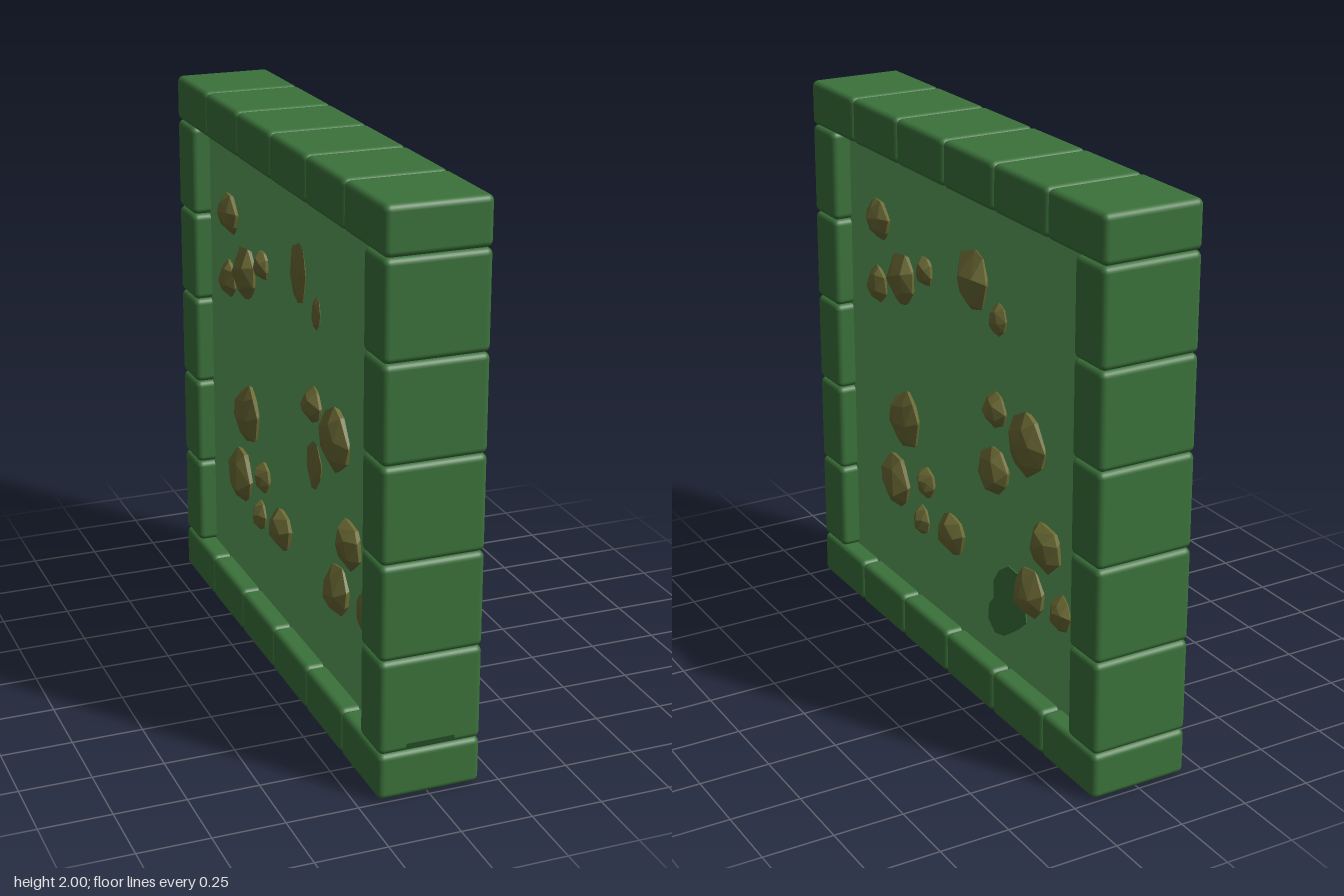
import * as THREE from 'three';
import { RoundedBoxGeometry } from 'three/addons/geometries/RoundedBoxGeometry.js';
import { ConvexGeometry } from 'three/addons/geometries/ConvexGeometry.js';

const mat = (name, color) => {
  const m = new THREE.MeshStandardMaterial({ color });
  m.name = name;
  return m;
};

function seeded(seed) {
  let s = seed;
  return () => (s = (s * 16807) % 2147483647) / 2147483647;
}

// Rocks: z, y, half width, half height, shallow on the far face
const ROCKS = [
  [0.59, 1.565, 0.08, 0.08], [0.605, 1.315, 0.062, 0.07],
  [0.41, 1.39, 0.09, 0.1], [0.24, 1.465, 0.048, 0.055],
  [-0.1, 1.53, 0.097, 0.112, true], [-0.27, 1.44, 0.047, 0.063, true],
  [-0.255, 1.115, 0.066, 0.064], [-0.467, 1.065, 0.106, 0.117],
  [-0.25, 0.89, 0.095, 0.093, true], [-0.59, 0.737, 0.096, 0.09],
  [-0.488, 0.53, 0.09, 0.092], [-0.685, 0.535, 0.058, 0.07, true],
  [0.403, 0.85, 0.103, 0.117], [0.244, 0.658, 0.058, 0.061],
  [0.053, 0.53, 0.087, 0.082], [0.483, 0.583, 0.1, 0.115],
  [0.281, 0.493, 0.045, 0.06],
];

const FACE = 0.11; // half thickness of the panel

// Faceted stone: wide ring in the panel, smaller ring and a crown above it
function rockGeometry(hw, hh, depth, seed) {
  const rnd = seeded(seed);
  for (let i = 0; i < 5; i++) rnd();
  const pts = [];
  const turn = rnd() * 6;
  const ring = (n, x, scale, jitter) => {
    for (let i = 0; i < n; i++) {
      const a = turn + ((i + (rnd() - 0.5) * 0.5) / n) * Math.PI * 2;
      const r = scale * (1 - jitter * rnd());
      pts.push(new THREE.Vector3(
        x + (rnd() - 0.5) * depth * 0.25, Math.sin(a) * hh * r, Math.cos(a) * hw * r));
    }
  };
  ring(6, -depth * 0.5, 0.85, 0.2);
  ring(8, depth * 0.2, 1.04, 0.12);
  ring(5, depth * 0.75, 0.68, 0.25);
  pts.push(new THREE.Vector3(depth, (rnd() - 0.5) * hh * 0.5, (rnd() - 0.5) * hw * 0.5));
  return new ConvexGeometry(pts);
}

export function createModel() {
  const group = new THREE.Group();
  const frameGreen = mat('frame green', 0x3b723b);
  const panelGreen = mat('panel green', 0x5ca35b);
  const stone = mat('stone olive', 0x6b6a35);
  const gapGreen = mat('gap dark green', 0x234a26);

  const add = (name, geometry, material, x = 0, y = 0, z = 0, parent = group) => {
    const mesh = new THREE.Mesh(geometry, material);
    mesh.name = name;
    mesh.position.set(x, y, z);
    parent.add(mesh);
    return mesh;
  };

  // Central panel, showing through the open underside of the frame
  add('panel', new THREE.BoxGeometry(FACE * 2, 1.95, 1.88), panelGreen, 0, 0.975, 0);

  // Top and bottom rows of rounded blocks
  const rowLength = 2 / 6;
  const rowBlock = new RoundedBoxGeometry(0.36, 0.165, rowLength, 3, 0.022);
  for (let i = 0; i < 6; i++) {
    const z = -1 + rowLength * (i + 0.5);
    add('topBlock', rowBlock, frameGreen, 0, 1.9175, z);
    add('bottomBlock', rowBlock, frameGreen, 0, 0.0885, z);
  }

  // Front and back posts
  const postHeight = (1.835 - 0.171) / 5;
  const postBlock = new RoundedBoxGeometry(0.36, postHeight, 0.17, 3, 0.022);
  for (let i = 0; i < 5; i++) {
    const y = 0.171 + postHeight * (i + 0.5);
    for (const side of [-1, 1]) add('postBlock', postBlock, frameGreen, 0, y, side * 0.915);
  }
  add('frontSlit', new THREE.BoxGeometry(0.17, 0.014, 0.006), gapGreen, 0, 0.194, 0.999);

  // Stones on both faces; the far face is the near one turned half round
  for (const far of [false, true]) {
    const face = new THREE.Group();
    face.name = far ? 'rightStones' : 'leftStones';
    face.rotation.y = far ? Math.PI : 0;
    group.add(face);
    ROCKS.forEach(([z, y, hw, hh, shallow], i) => {
      const sunk = far && shallow;
      const depth = sunk ? 0.018 : Math.min(0.06, 0.025 + hw * 0.35);
      const width = sunk ? hw * 0.75 : hw;
      add('stone', rockGeometry(width, hh, depth, 911 + i * 77), stone, FACE, y, z, face);
    });
  }

  // Flat dark patch on the left face, drawn as (-z, y)
  const outline = [
    [0.335, 0.562], [0.42, 0.557], [0.44, 0.504], [0.457, 0.398], [0.398, 0.345],
    [0.308, 0.281], [0.244, 0.265], [0.196, 0.302], [0.202, 0.361], [0.234, 0.398],
    [0.234, 0.467], [0.271, 0.52],
  ].map(([u, v]) => new THREE.Vector2(u, v));
  const patch = new THREE.ExtrudeGeometry(new THREE.Shape(outline), { depth: 0.004, bevelEnabled: false });
  add('patch', patch, frameGreen, FACE, 0, 0).rotation.y = Math.PI / 2;

  return group;
}
